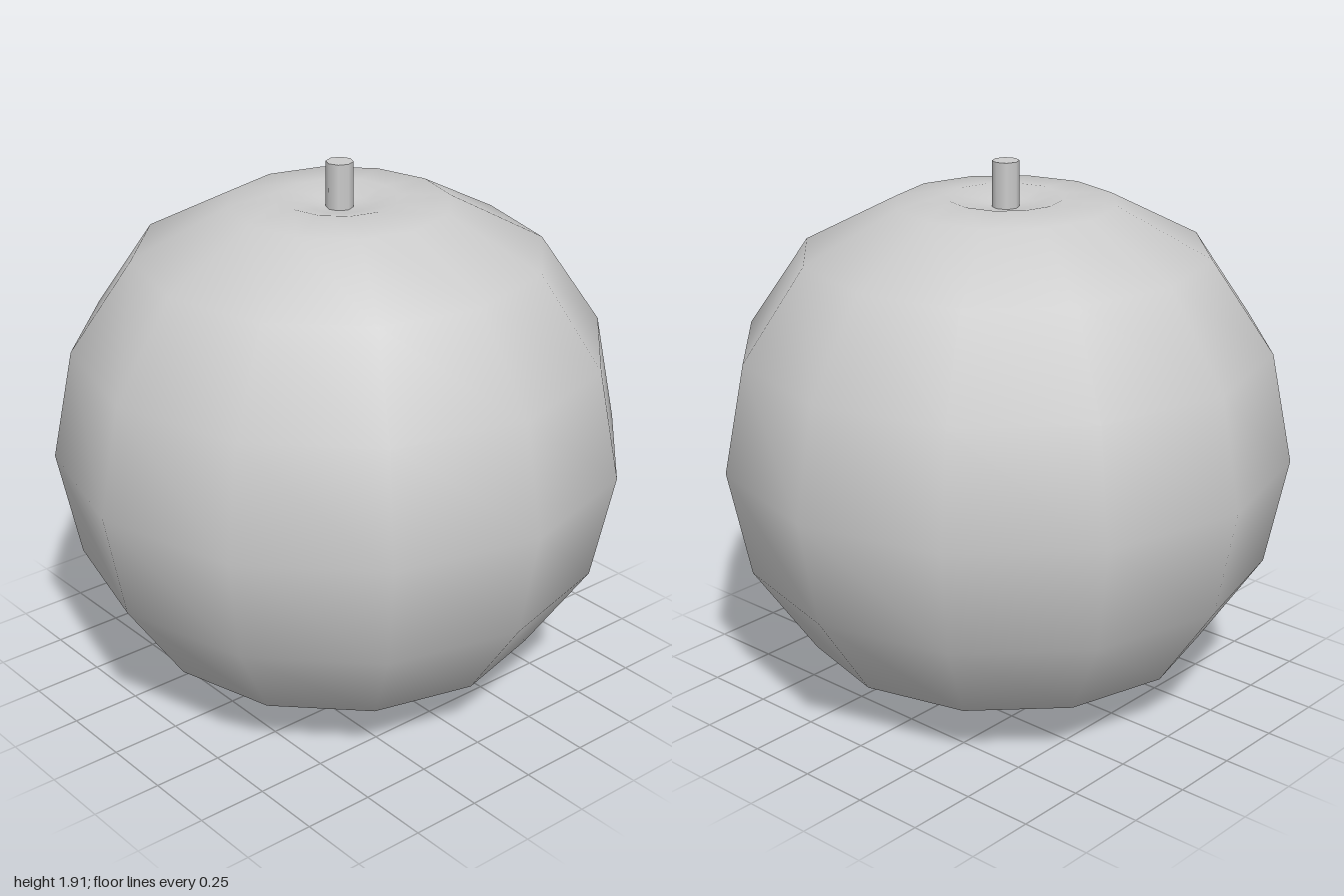
import * as THREE from 'three';

export function createModel() {
  const group = new THREE.Group();
  const material = new THREE.MeshStandardMaterial({ color: 0xcccccc });

  // Body: twelve-sided smooth fruit, flattened below and dimpled on top (radius, height)
  const profile = [
    [0, 0], [0.383, 0.04], [0.707, 0.207], [0.924, 0.527], [1, 0.907],
    [0.924, 1.29], [0.707, 1.607], [0.383, 1.775], [0.2, 1.79], [0.1, 1.765], [0, 1.75],
  ].map(([r, y]) => new THREE.Vector2(r, y));
  const body = new THREE.Mesh(new THREE.LatheGeometry(profile, 12), material);
  body.name = 'fruitBody';
  group.add(body);

  // Stem: short rod rising out of the dimple
  const bottom = 1.72, top = 1.915;
  const stem = new THREE.Mesh(new THREE.CylinderGeometry(0.047, 0.047, top - bottom, 8), material);
  stem.position.y = (top + bottom) / 2;
  stem.name = 'stem';
  group.add(stem);

  return group;
}
